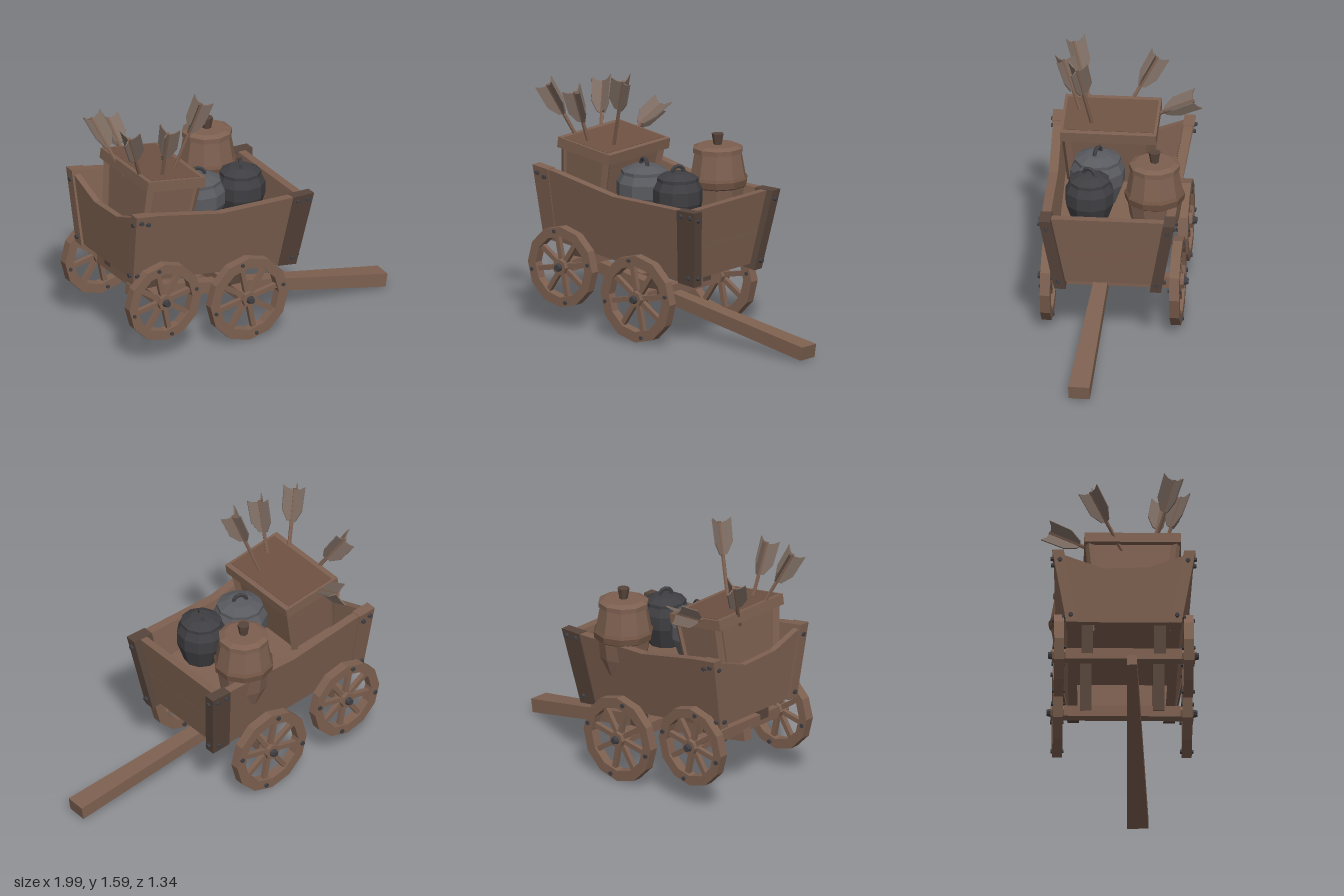
import * as THREE from 'three';

const mat = (color) => new THREE.MeshStandardMaterial({ color, flatShading: true, side: THREE.DoubleSide });
const wood = mat(0x7d6050), darkWood = mat(0x57453b), lidWood = mat(0x6e5242);
const metal = mat(0x3f3e42), potGrey = mat(0x5a5b60), feather = mat(0x7c6c62);

function add(parent, name, geo, material, x = 0, y = 0, z = 0) {
  const m = new THREE.Mesh(geo, material);
  m.name = name;
  m.position.set(x, y, z);
  parent.add(m);
  return m;
}

const poly = (pts) => new THREE.Shape(pts.map((p) => new THREE.Vector2(p[0], p[1])));
const plank = (pts, depth) => new THREE.ExtrudeGeometry(poly(pts), { depth, bevelEnabled: false });

// Shift vertices along one axis in proportion to height, so that boards lean
function lean(geo, axis, slope, y0) {
  const p = geo.attributes.position;
  for (let i = 0; i < p.count; i++) {
    p['set' + axis](i, p['get' + axis](i) + slope * (p.getY(i) - y0));
  }
  geo.computeVertexNormals();
  return geo;
}

// Square beam between two points, with its own section at each end
function beam(parent, name, a, b, [w0, h0], [w1, h1], material) {
  const A = new THREE.Vector3(...a), B = new THREE.Vector3(...b);
  const geo = new THREE.BoxGeometry(1, 1, A.distanceTo(B));
  const p = geo.attributes.position;
  for (let i = 0; i < p.count; i++) {
    const end = p.getZ(i) > 0;
    p.setX(i, p.getX(i) * (end ? w1 : w0));
    p.setY(i, p.getY(i) * (end ? h1 : h0));
  }
  const m = new THREE.Mesh(geo, material);
  m.name = name;
  m.position.copy(A).lerp(B, 0.5);
  m.lookAt(B); // before parenting, so the direction stays local
  parent.add(m);
}

// Box with a smaller base
function taperedBox(w, h, d, k) {
  const geo = new THREE.BoxGeometry(w, h, d), p = geo.attributes.position;
  for (let i = 0; i < p.count; i++) {
    if (p.getY(i) < 0) p.setXYZ(i, p.getX(i) * k, p.getY(i), p.getZ(i) * k);
  }
  return geo;
}

const lathe = (pts, n) => new THREE.LatheGeometry(pts.map((p) => new THREE.Vector2(p[0], p[1])), n);

// Spoked wheel facing +z
function wheel(r, side) {
  const g = new THREE.Group();
  g.name = 'wheel';
  const ring = (rad) => Array.from({ length: 12 }, (_, i) => [
    rad * Math.cos((i * Math.PI) / 6), rad * Math.sin((i * Math.PI) / 6)]);
  const shape = poly(ring(r));
  shape.holes.push(poly(ring(r * 0.76)));
  const rim = new THREE.ExtrudeGeometry(shape, { depth: 0.06, bevelEnabled: false });
  add(g, 'rim', rim, wood, 0, 0, -0.03);
  for (let i = 0; i < 8; i++) {
    const a = (i * Math.PI) / 4 + 0.2, c = Math.cos(a), s = Math.sin(a);
    const spoke = add(g, 'spoke', new THREE.BoxGeometry(r * 0.8, 0.03, 0.03), wood, c * r * 0.4, s * r * 0.4, 0);
    spoke.rotation.z = a;
    if (i % 2 === 0) {
      const bolt = add(g, 'rimBolt', new THREE.CylinderGeometry(0.012, 0.015, 0.08, 6), metal, c * r * 0.88, s * r * 0.88, 0);
      bolt.rotation.x = Math.PI / 2;
    }
  }
  const hub = add(g, 'hub', new THREE.CylinderGeometry(0.05, 0.05, 0.08, 8), wood);
  hub.rotation.x = Math.PI / 2;
  const cap = add(g, 'hubCap', new THREE.CylinderGeometry(0.02, 0.028, 0.03, 8), metal, 0, 0, side * 0.05);
  cap.rotation.x = side * Math.PI / 2;
  return g;
}

// Round squat pot with lid and arched handle
function pot(r, material) {
  const g = new THREE.Group();
  g.name = 'pot';
  add(g, 'potBody', lathe([[0, -0.2], [r * 0.7, -0.2], [r, -0.07], [r, 0.01], [r * 0.8, 0.07], [r * 0.7, 0.07]], 10), material);
  add(g, 'potLid', lathe([[r * 0.84, 0.06], [r * 0.84, 0.08], [r * 0.45, 0.11], [0, 0.115]], 10), material);
  add(g, 'potHandle', new THREE.TorusGeometry(0.04, 0.013, 5, 6, Math.PI), metal, 0, 0.11, 0);
  return g;
}

// Arrow with three vanes, from its entry point to its nock
function arrow(base, tip) {
  const g = new THREE.Group();
  g.name = 'arrow';
  const A = new THREE.Vector3(...base), B = new THREE.Vector3(...tip);
  const dir = B.clone().sub(A), len = dir.length();
  add(g, 'shaft', new THREE.CylinderGeometry(0.012, 0.012, len + 0.08, 6), wood, 0, len / 2 - 0.05, 0);
  const vane = plank([[0, -0.22], [0.03, -0.21], [0.07, -0.14], [0.075, 0.01], [0.045, -0.01], [0, -0.02]], 0.008);
  for (let i = 0; i < 3; i++) {
    add(g, 'vane', vane, feather, 0, len, 0).rotation.y = (i * Math.PI * 2) / 3 + 0.2;
  }
  g.position.copy(A);
  g.quaternion.setFromUnitVectors(new THREE.Vector3(0, 1, 0), dir.normalize());
  return g;
}

export function createModel() {
  const root = new THREE.Group();
  root.name = 'cart';
  // The cart is built along x and then turned
  const turned = new THREE.Group();
  turned.name = 'turnedCart';
  turned.rotation.y = 0.49;
  root.add(turned);
  const cart = new THREE.Group();
  cart.name = 'cartBody';
  cart.position.z = -0.1;
  turned.add(cart);

  // Flared side boards, corner strips and bolts
  const flare = 0.18;
  const sidePts = [[-0.78, 0.53], [0.36, 0.39], [0.43, 0.87], [-0.2, 0.88], [-0.64, 0.97], [-0.8, 0.99]];
  const frontStrip = [[0.24, 0.4], [0.365, 0.385], [0.44, 0.875], [0.3, 0.875]];
  const rearStrip = [[-0.785, 0.525], [-0.69, 0.515], [-0.69, 0.98], [-0.805, 0.995]];
  for (const s of [1, -1]) {
    const board = (name, pts, depth, out, m) =>
      add(cart, name, lean(plank(pts, depth), 'Z', s * flare, 0.93), m, 0, 0, s > 0 ? out - depth : -out);
    board('sideBoard', sidePts, 0.055, 0.415, wood);
    board('frontCornerStrip', frontStrip, 0.07, 0.422, darkWood);
    board('rearCornerStrip', rearStrip, 0.07, 0.422, wood);
    for (const [x, y] of [[0.4, 0.84], [0.33, 0.84], [0.33, 0.44], [-0.77, 0.95], [-0.72, 0.93], [-0.76, 0.57]]) {
      const b = add(cart, 'bolt', new THREE.CylinderGeometry(0.013, 0.017, 0.024, 6), metal,
        x, y, s * (0.427 + flare * (y - 0.93)));
      b.rotation.x = s * Math.PI / 2;
    }
    for (const [x, y] of [[0.43, 0.82], [0.375, 0.44], [-0.795, 0.93], [-0.785, 0.57]]) {
      const b = add(cart, 'endBolt', new THREE.CylinderGeometry(0.014, 0.014, 0.035, 6), metal,
        x, y, s * (0.387 + flare * (y - 0.93)));
      b.rotation.z = Math.PI / 2;
    }
  }

  // Front and rear panels
  const frontPanel = plank([[-0.28, 0.42], [0.28, 0.42], [0.36, 0.87], [-0.36, 0.87]], 0.05);
  add(cart, 'frontPanel', lean(frontPanel.rotateY(-Math.PI / 2), 'X', 0.14, 0.87), wood, 0.39, 0, 0);
  const rearPanel = plank([[-0.29, 0.53], [0.29, 0.53], [0.37, 0.97], [0.15, 0.89], [-0.12, 0.88], [-0.37, 0.97]], 0.04);
  add(cart, 'rearPanel', lean(rearPanel.rotateY(-Math.PI / 2), 'X', -0.05, 0.97), wood, -0.75, 0, 0);

  // Sloping floor
  add(cart, 'floor', new THREE.BoxGeometry(1.04, 0.04, 0.66), wood, -0.16, 0.69, 0).rotation.z = -0.125;

  // Wheels, axles and the posts that carry the bed
  for (const [x, y, r, bed] of [[-0.6, 0.385, 0.25, 0.74], [-0.015, 0.275, 0.27, 0.67]]) {
    for (const s of [1, -1]) {
      const w = wheel(r, s);
      w.position.set(x, y, s * 0.392);
      cart.add(w);
      add(cart, 'bedPost', new THREE.BoxGeometry(0.08, bed - y, 0.07), darkWood, x, (bed + y) / 2, s * 0.22);
    }
    add(cart, 'axle', new THREE.BoxGeometry(0.07, 0.07, 0.74), wood, x, y, 0);
  }

  // Draw pole
  beam(cart, 'drawPole', [-0.65, 0.335, 0.05], [1.08, 0.055, 0.11], [0.06, 0.07], [0.13, 0.085], wood);

  // Tall crate with a rim
  const crate = new THREE.Group();
  crate.name = 'crate';
  crate.position.set(-0.475, 1.145, 0.055);
  crate.rotation.z = -0.14;
  cart.add(crate);
  add(crate, 'crateBody', taperedBox(0.33, 0.5, 0.55, 0.82), wood, 0, -0.27, 0);
  add(crate, 'crateTop', new THREE.BoxGeometry(0.34, 0.03, 0.55), lidWood, 0, -0.015, 0);
  for (const s of [1, -1]) {
    add(crate, 'crateRim', new THREE.BoxGeometry(0.4, 0.065, 0.035), wood, 0, -0.035, s * 0.275);
    add(crate, 'crateRim', new THREE.BoxGeometry(0.035, 0.065, 0.58), wood, s * 0.185, -0.035, 0);
    for (const q of [1, -1]) {
      beam(crate, 'crateBatten', [s * 0.135, -0.5, q * 0.22], [s * 0.16, -0.06, q * 0.26], [0.04, 0.04], [0.04, 0.04], wood);
    }
  }

  // Barrel with band, lid and knob
  const barrel = new THREE.Group();
  barrel.name = 'barrel';
  barrel.position.set(0.076, 0, -0.26);
  cart.add(barrel);
  add(barrel, 'barrelBody', lathe([[0, 0.65], [0.11, 0.65], [0.15, 0.76], [0.175, 0.92], [0.145, 1.09], [0, 1.09]], 10), wood);
  add(barrel, 'barrelBand', lathe([[0.165, 0.87], [0.18, 0.88], [0.185, 0.92], [0.17, 0.94]], 10), lidWood);
  add(barrel, 'barrelLid', lathe([[0.13, 1.08], [0.155, 1.08], [0.155, 1.11], [0.12, 1.125], [0, 1.125]], 10), wood);
  add(barrel, 'barrelKnob', new THREE.CylinderGeometry(0.038, 0.025, 0.075, 7), darkWood, 0, 1.155, 0);

  // Two lidded pots
  for (const [x, z, r, m, turn] of [[-0.197, 0.11, 0.168, potGrey, -0.4], [0.085, 0.135, 0.15, metal, 1.1]]) {
    const p = pot(r, m);
    p.position.set(x, 0.915, z);
    p.rotation.y = turn;
    cart.add(p);
  }

  // Arrows standing out of the crate
  for (const [base, tip] of [
    [[-0.53, 1.16, 0.4], [-0.6, 1.48, 0.56]],
    [[-0.39, 1.16, 0.38], [-0.36, 1.48, 0.48]],
    [[-0.31, 1.14, 0.24], [-0.15, 1.57, 0.245]],
    [[-0.66, 1.14, 0.18], [-0.82, 1.41, 0.09]],
    [[-0.6, 1.1, 0.03], [-0.71, 1.25, -0.25]],
  ]) root.add(arrow(base, tip));

  return root;
}
